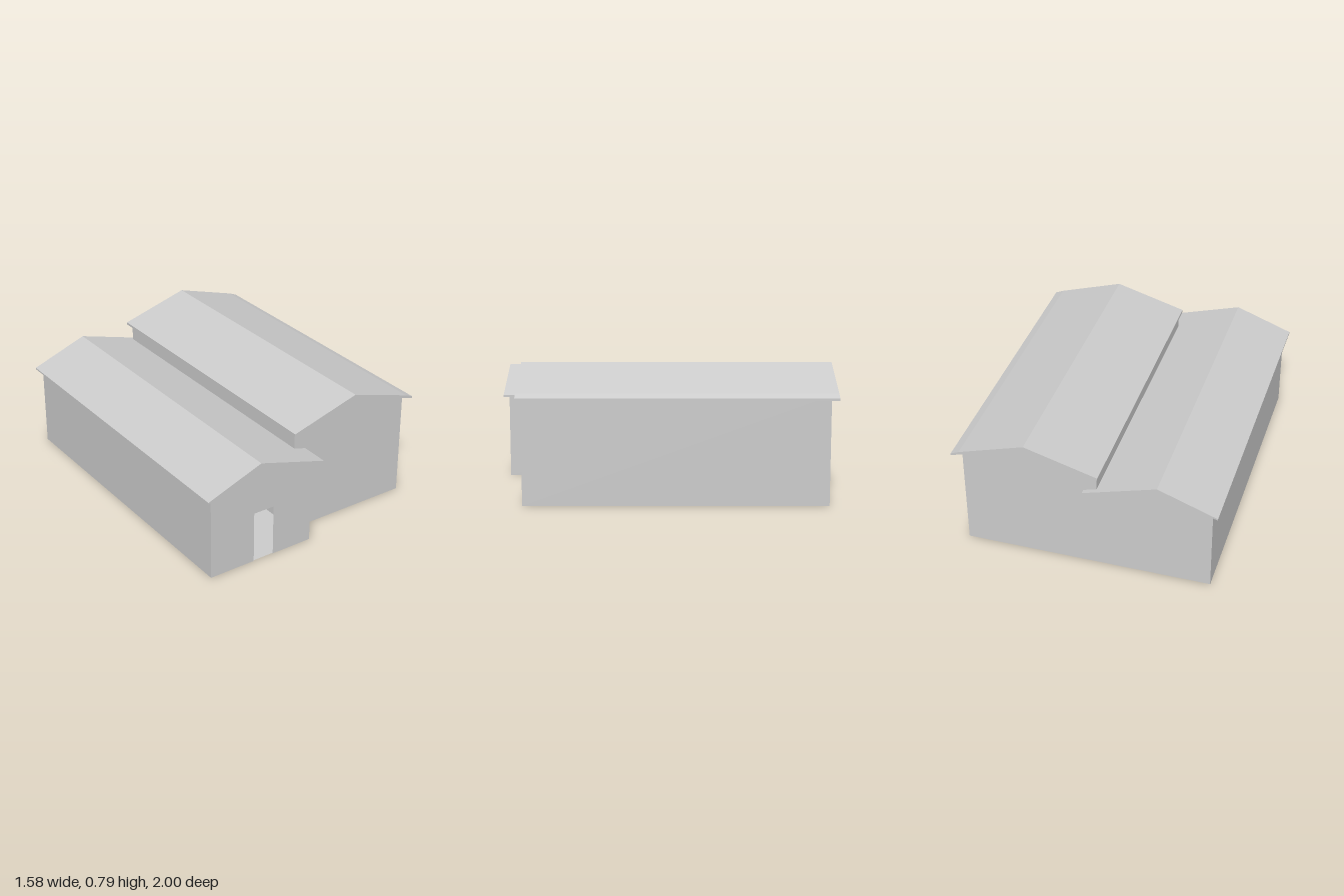
import * as THREE from 'three';

const grey = new THREE.MeshStandardMaterial({ color: 0xcccccc, flatShading: true, side: THREE.DoubleSide });

function add(parent, name, geometry, x = 0, y = 0, z = 0) {
  const mesh = new THREE.Mesh(geometry, grey);
  mesh.name = name;
  mesh.position.set(x, y, z);
  parent.add(mesh);
  return mesh;
}

const outline = points => new THREE.Shape(points.map(([x, y]) => new THREE.Vector2(x, y)));

// Thin upright wall running along z
function sideWall(parent, name, x, height, z0, z1, facing) {
  const wall = add(parent, name, new THREE.PlaneGeometry(z1 - z0, height), x, height / 2, (z0 + z1) / 2);
  wall.rotation.y = facing * Math.PI / 2;
}

// Gabled building shell, open below; door is [x0, x1, height]
function buildShell({ name, left, ridge, right, z0, z1, door }) {
  const group = new THREE.Group();
  group.name = name;
  const gable = () => outline([[left[0], 0], [right[0], 0], right, ridge, left]);
  const front = gable();
  if (door) {
    const [a, b, h] = door;
    const cut = outline([[left[0], 0], [a, 0], [a, h], [b, h], [b, 0], [right[0], 0], right, ridge, left]);
    add(group, 'frontWall', new THREE.ShapeGeometry(cut), 0, 0, z1);
  } else {
    add(group, 'frontWall', new THREE.ShapeGeometry(front), 0, 0, z1);
  }
  const back = add(group, 'backWall', new THREE.ShapeGeometry(outline(
    [[-right[0], 0], [-left[0], 0], [-left[0], left[1]], [-ridge[0], ridge[1]], [-right[0], right[1]]])), 0, 0, z0);
  back.rotation.y = Math.PI;
  sideWall(group, 'rightWall', left[0], left[1], z0, z1, -1);
  sideWall(group, 'leftWall', right[0], right[1], z0, z1, 1);
  return group;
}

// Roof slab: a thin pitched profile drawn along z
function buildRoof(parent, name, points, z0, z1) {
  add(parent, name, new THREE.ExtrudeGeometry(outline(points), { depth: z1 - z0, bevelEnabled: false }), 0, 0, z0);
}

// Inner room with floor and walls, open at the front and top
function buildRoom(parent, name, x0, x1, z0, z1, h) {
  const room = new THREE.Group();
  room.name = name;
  const floor = add(room, 'floor', new THREE.PlaneGeometry(x1 - x0, z1 - z0), (x0 + x1) / 2, 0, (z0 + z1) / 2);
  floor.rotation.x = -Math.PI / 2;
  add(room, 'rearPartition', new THREE.PlaneGeometry(x1 - x0, h), (x0 + x1) / 2, h / 2, z0);
  sideWall(room, 'rightPartition', x0, h, z0, z1, 1);
  sideWall(room, 'leftPartition', x1, h, z0, z1, -1);
  parent.add(room);
}

export function createModel() {
  const model = new THREE.Group();
  model.name = 'twinGableBuilding';

  // Low wing with the doorway
  const wing = buildShell({
    name: 'lowWing', left: [-0.755, 0.525], ridge: [-0.437, 0.632], right: [-0.06, 0.53],
    z0: -0.96, z1: 0.97, door: [-0.46, -0.325, 0.32],
  });
  buildRoof(wing, 'lowRoof', [
    [-0.79, 0.514], [-0.437, 0.63], [0.005, 0.514], [0.005, 0.525], [-0.437, 0.655], [-0.79, 0.524],
  ], -0.99, 1);
  buildRoom(wing, 'entranceRoom', -0.735, -0.065, 0.05, 0.965, 0.45);
  model.add(wing);

  // Tall hall
  const hall = buildShell({
    name: 'tallHall', left: [-0.075, 0.65], ridge: [0.343, 0.763], right: [0.735, 0.65],
    z0: -0.96, z1: 0.825,
  });
  buildRoof(hall, 'tallRoof', [
    [-0.093, 0.645], [0.343, 0.761], [0.735, 0.648], [0.79, 0.63],
    [0.79, 0.643], [0.74, 0.664], [0.343, 0.786], [-0.093, 0.66],
  ], -1, 0.853);
  buildRoom(hall, 'hallRoom', -0.07, 0.65, -0.87, 0.82, 0.45);
  model.add(hall);

  // Flat ceilings inside both parts
  for (const [name, x0, x1, z1] of [['lowCeiling', -0.75, -0.08, 0.965], ['hallCeiling', -0.07, 0.73, 0.82]]) {
    const ceiling = add(model, name, new THREE.PlaneGeometry(x1 - x0, z1 + 0.955), (x0 + x1) / 2, 0.45, (z1 - 0.955) / 2);
    ceiling.rotation.x = Math.PI / 2;
  }
  return model;
}
